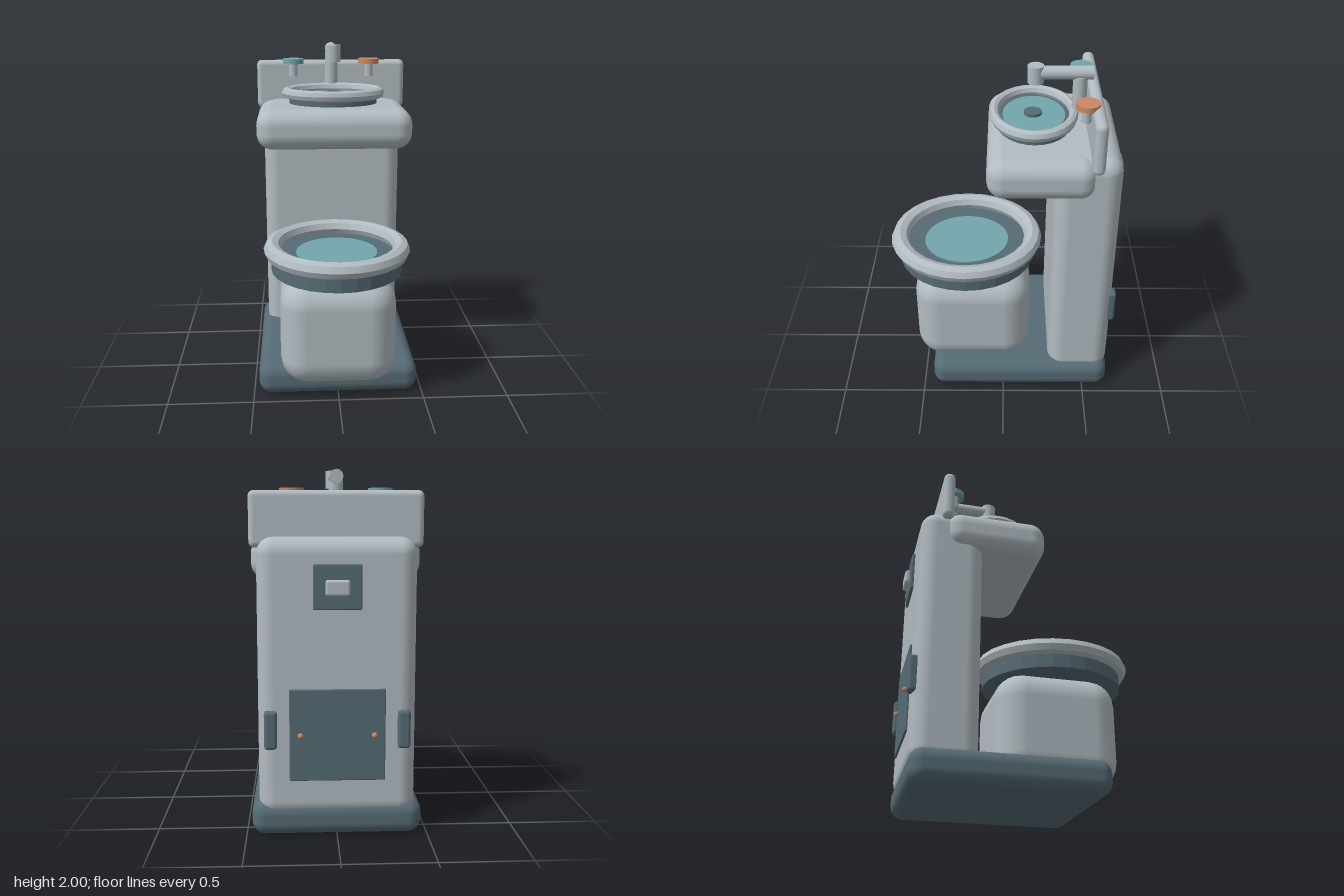
import * as THREE from 'three';
import { RoundedBoxGeometry } from 'three/addons/geometries/RoundedBoxGeometry.js';
import { toCreasedNormals } from 'three/addons/utils/BufferGeometryUtils.js';

const material = (name, color) => {
  const m = new THREE.MeshStandardMaterial({ color });
  m.name = name;
  return m;
};

export function createModel() {
  const model = new THREE.Group();
  model.name = 'washUnit';
  const grey = material('paleGrey', 0xb2bcc2);
  const slate = material('slate', 0x566b75);
  const teal = material('waterTeal', 0x74a5ad);
  const copper = material('copper', 0xcb8864);

  const add = (parent, name, geometry, mat, x, y, z) => {
    const mesh = new THREE.Mesh(geometry, mat);
    mesh.name = name;
    mesh.position.set(x, y, z);
    parent.add(mesh);
    return mesh;
  };

  // Rounded box given by its limits on each axis
  const box = (name, mat, [x0, x1], [y0, y1], [z0, z1], radius, segments = 4) =>
    add(model, name, new RoundedBoxGeometry(x1 - x0, y1 - y0, z1 - z0, segments, radius), mat,
      (x0 + x1) / 2, (y0 + y1) / 2, (z0 + z1) / 2);

  // Upright cylinder between two heights
  const post = (parent, name, mat, r, y0, y1, x, z, sides = 20) =>
    add(parent, name, new THREE.CylinderGeometry(r, r, y1 - y0, sides), mat, x, (y0 + y1) / 2, z);

  // Oval basin: collar, faceted rim and water disc
  const basin = (name, z, stretch, o) => {
    const group = new THREE.Group();
    group.name = name;
    group.position.z = z;
    group.scale.z = stretch;
    const collar = post(group, name + 'Collar', slate, o.collar, o.collarY[0], o.collarY[1], 0, 0, 28);
    collar.geometry = toCreasedNormals(collar.geometry, 0.1);
    const rim = new THREE.TorusGeometry(o.rim, o.tube, 8, 28).rotateX(-Math.PI / 2);
    add(group, name + 'Rim', toCreasedNormals(rim, 0.5), grey, 0, o.rimY, 0);
    post(group, name + 'Water', teal, o.water, o.collarY[1], o.collarY[1] + 0.008, 0, 0, 32);
    model.add(group);
  };

  // Main body
  box('base', slate, [-0.47, 0.47], [0, 0.195], [-0.65, 0.44], 0.075);
  box('column', grey, [-0.43, 0.43], [0.11, 1.64], [-0.648, -0.28], 0.09);
  box('sinkBlock', grey, [-0.465, 0.465], [1.4, 1.64], [-0.51, 0.092], 0.095);
  box('backsplash', grey, [-0.472, 0.472], [1.58, 1.885], [-0.536, -0.468], 0.032);
  box('toiletBody', grey, [-0.338, 0.338], [0.085, 0.73], [-0.163, 0.547], 0.16, 3);

  // Toilet bowl and sink basin
  basin('toilet', 0.23, 1.08,
    { collar: 0.387, collarY: [0.73, 0.825], rim: 0.381, tube: 0.05, rimY: 0.857, water: 0.24 });
  basin('sink', -0.17, 0.8,
    { collar: 0.266, collarY: [1.655, 1.7], rim: 0.279, tube: 0.033, rimY: 1.717, water: 0.22 });
  post(model, 'drain', slate, 0.05, 1.7, 1.725, 0, -0.165);

  // Tap
  post(model, 'tapPost', grey, 0.04, 1.745, 1.94, 0, -0.42);
  const spout = post(model, 'tapSpout', grey, 0.038, 0, 0.315, 0, -0.333);
  spout.rotation.x = Math.PI / 2;
  spout.position.y = 1.958;
  post(model, 'tapNozzle', grey, 0.045, 1.9, 2, 0, -0.175);

  // Cold and hot knobs
  for (const [name, side, mat] of [['coldKnob', -1, teal], ['hotKnob', 1, copper]]) {
    post(model, name, mat, 0.066, 1.866, 1.897, side * 0.24, -0.447, 24);
    post(model, name + 'Stem', grey, 0.027, 1.787, 1.868, side * 0.24, -0.44);
  }

  // Rear flush plate and service hatch
  box('flushPlate', slate, [-0.13, 0.13], [1.26, 1.5], [-0.666, -0.64], 0.008, 2);
  box('flushButton', grey, [-0.065, 0.065], [1.335, 1.42], [-0.695, -0.66], 0.014, 3);
  box('serviceHatch', slate, [-0.26, 0.26], [0.325, 0.832], [-0.66, -0.64], 0.006, 2);

  // Hatch bolts and rear grips
  for (const side of [-1, 1]) {
    add(model, 'hatchBolt', new THREE.SphereGeometry(0.016, 12, 8), copper, side * 0.2, 0.58, -0.668);
    const x = side * 0.361;
    box('rearGrip', slate, [x - 0.035, x + 0.035], [0.503, 0.715], [-0.673, -0.615], 0.018, 3);
  }
  return model;
}
